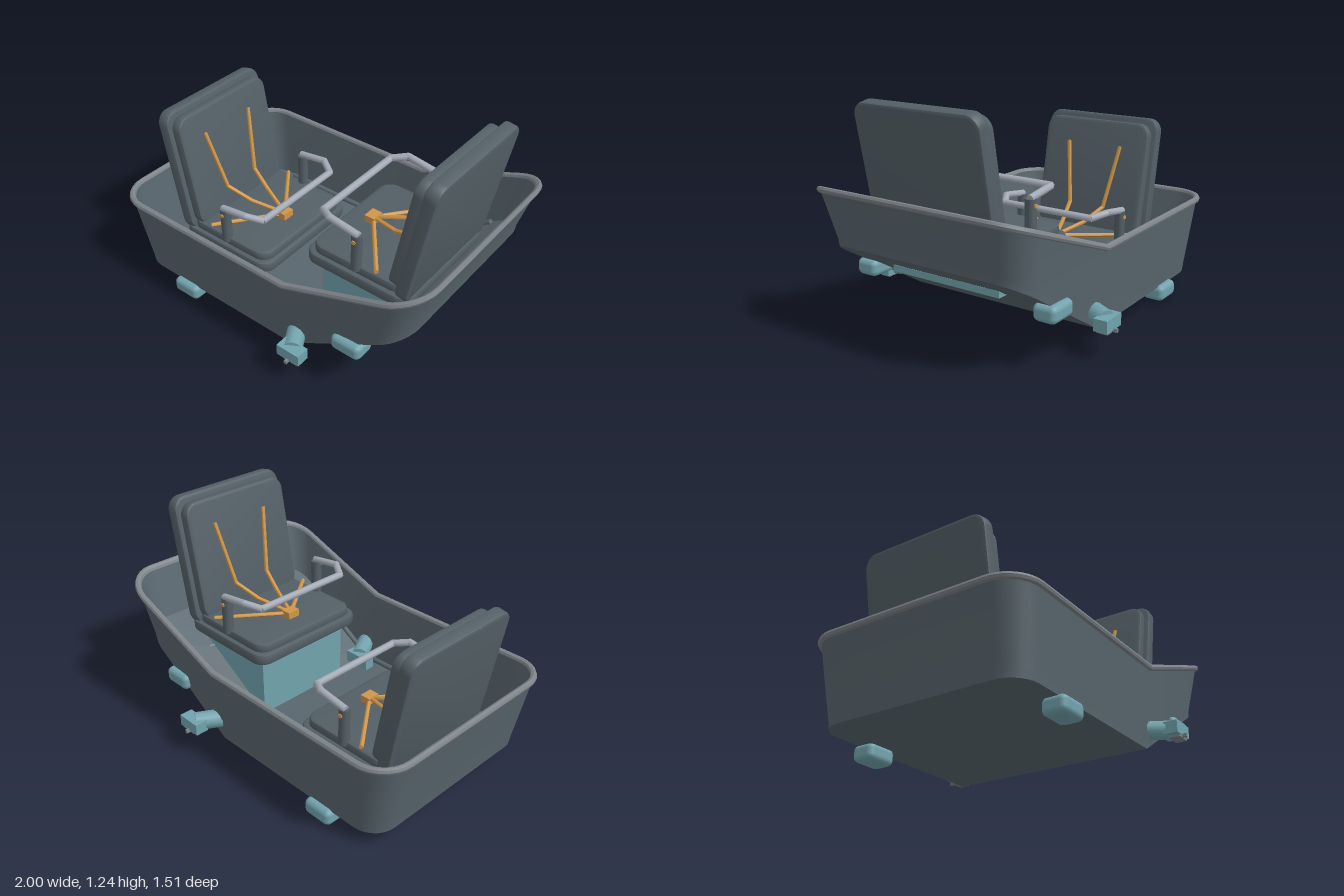
import * as THREE from 'three';
import { toCreasedNormals } from 'three/addons/utils/BufferGeometryUtils.js';
import { RoundedBoxGeometry } from 'three/addons/geometries/RoundedBoxGeometry.js';

const mat = (name, color) => {
  const m = new THREE.MeshStandardMaterial({ color });
  m.name = name;
  return m;
};
const BEND = 0.22; // where the floor and the rim start to climb
const floorY = x => 0.08 + Math.max(0, x - BEND) * 0.62;
const rimY = x => 0.515 + Math.max(0, x - BEND) * 0.375;

export function createModel() {
  const hullMat = mat('hull grey', 0x59666e);
  const seatMat = mat('seat grey', 0x535f66);
  const rimMat = mat('rim grey', 0x7d848a);
  const barMat = mat('bar silver', 0xa4aab6);
  const tealMat = mat('teal', 0x72a3ad);
  const goldMat = mat('strap gold', 0xcf964a);
  const model = new THREE.Group();

  const add = (parent, name, geo, material, x = 0, y = 0, z = 0) => {
    const m = new THREE.Mesh(geo, material);
    m.name = name;
    m.position.set(x, y, z);
    parent.add(m);
    return m;
  };
  const box = (parent, name, material, w, h, d, x, y, z) =>
    add(parent, name, new THREE.BoxGeometry(w, h, d), material, x, y, z);

  // Chain of straight round rods through the given points
  const rods = (parent, name, material, r, pts, sides = 8) => {
    const g = new THREE.Group();
    g.name = name;
    for (let i = 0; i + 1 < pts.length; i++) {
      const a = new THREE.Vector3(...pts[i]), b = new THREE.Vector3(...pts[i + 1]);
      const dir = b.clone().sub(a), len = dir.length();
      const geo = toCreasedNormals(new THREE.CylinderGeometry(r, r, len + r * 0.5, sides), 0.9);
      const m = add(g, name + 'Part', geo, material);
      m.position.copy(a).add(b).multiplyScalar(0.5);
      m.quaternion.setFromUnitVectors(new THREE.Vector3(0, 1, 0), dir.normalize());
    }
    parent.add(g);
  };

  // Rounded-rectangle ring whose height follows a rule of x
  const ring = (a, b, r, height) => {
    const side = [];
    const arc = (cx, from, to) => {
      for (let i = 0; i <= 7; i++) {
        const t = from + (to - from) * i / 7;
        side.push([cx + r * Math.cos(t), b - r + r * Math.sin(t)]);
      }
    };
    arc(-a + r, Math.PI, Math.PI / 2);
    side.push([BEND, b]);
    arc(a - r, Math.PI / 2, 0);
    const all = side.concat(side.slice().reverse().map(([x, z]) => [x, -z]));
    return all.map(([x, z]) => [x, height(x), z]);
  };
  const loft = (rings, caps) => {
    const pos = [];
    const quad = (a, b, c, d) => pos.push(...a, ...b, ...c, ...a, ...c, ...d);
    const n = rings[0].length;
    for (let k = 0; k + 1 < rings.length; k++)
      for (let i = 0; i < n; i++) {
        const j = (i + 1) % n;
        quad(rings[k][i], rings[k][j], rings[k + 1][j], rings[k + 1][i]);
      }
    if (caps) {
      const first = rings[0], last = rings[rings.length - 1];
      for (let i = 0; i + 1 < n / 2; i++) {
        quad(last[i], last[i + 1], last[n - 2 - i], last[n - 1 - i]);
        quad(first[n - 1 - i], first[n - 2 - i], first[i + 1], first[i]);
      }
    }
    const geo = new THREE.BufferGeometry();
    geo.setAttribute('position', new THREE.Float32BufferAttribute(pos, 3));
    return toCreasedNormals(geo, 0.5);
  };

  // Open tub: outside wall, top edge, inside wall and floor
  add(model, 'tub', loft([
    ring(0.9, 0.582, 0.14, floorY),
    ring(0.905, 0.585, 0.14, x => floorY(x) + 0.04),
    ring(0.982, 0.626, 0.17, rimY),
    ring(0.965, 0.61, 0.155, rimY),
    ring(0.885, 0.568, 0.125, x => floorY(x) + 0.03),
  ], true), hullMat);

  // Rolled rim
  const rimRings = [];
  for (let i = 0; i <= 8; i++) {
    const t = i / 8 * Math.PI * 2, d = 0.018 * Math.cos(t), h = 0.018 * Math.sin(t);
    rimRings.push(ring(0.98 + d, 0.626 + d, 0.17 + d, x => rimY(x) + h));
  }
  add(model, 'rim', loft(rimRings, false), rimMat);

  // Strip under the sloping end
  box(model, 'undersideStrip', tealMat, 0.06, 0.035, 0.66, 0.672, 0.36, 0);

  for (const s of [1, -1]) {
    // Bumper pads
    for (const [x, y] of [[-0.535, 0.045], [0.59, 0.305]])
      add(model, 'bumperPad', new RoundedBoxGeometry(0.175, 0.09, 0.13, 2, 0.03), tealMat, x, y, 0.555 * s);
    // Side pivot with end blocks and pin
    rods(model, 'sidePivot', tealMat, 0.05, [[0.18, 0.19, 0.44 * s], [0.32, 0.19, 0.68 * s]], 10);
    box(model, 'pivotInnerBlock', tealMat, 0.16, 0.07, 0.06, 0.16, 0.18, 0.42 * s);
    box(model, 'pivotOuterBlock', tealMat, 0.14, 0.065, 0.075, 0.33, 0.185, 0.698 * s);
    box(model, 'pivotFoot', rimMat, 0.09, 0.018, 0.06, 0.34, 0.15, 0.7 * s);
    box(model, 'pivotPin', rimMat, 0.015, 0.018, 0.07, 0.33, 0.152, 0.72 * s);
    // Floor rails
    rods(model, 'floorRail', hullMat, 0.016,
      [[-0.7, 0.12, 0.545 * s], [BEND, 0.12, 0.545 * s], [0.72, 0.43, 0.545 * s]]);
  }

  // Pad with rounded corners and bevelled edges, centred, thickness along z
  const pad = (w, h, t, r) => {
    const e = 0.015, x = w / 2 - e, y = h / 2 - e, q = Math.PI / 2;
    const s = new THREE.Shape();
    s.absarc(x - r, y - r, r, 0, q);
    s.absarc(-x + r, y - r, r, q, 2 * q);
    s.absarc(-x + r, -y + r, r, 2 * q, 3 * q);
    s.absarc(x - r, -y + r, r, 3 * q, 4 * q);
    const geo = new THREE.ExtrudeGeometry(s, {
      depth: t - 2 * e, bevelSize: e, bevelThickness: e, bevelSegments: 2, curveSegments: 5,
    });
    geo.translate(0, 0, e - t / 2);
    return toCreasedNormals(geo, 0.5);
  };

  // Seat with harness and lap bar, facing -x
  const makeSeat = name => {
    const g = new THREE.Group();
    g.name = name;
    add(g, 'seatBase', pad(0.64, 0.74, 0.065, 0.06).rotateX(-Math.PI / 2), seatMat, 0.455, 0.5, 0);
    add(g, 'seatCushion', pad(0.57, 0.69, 0.06, 0.06).rotateX(-Math.PI / 2), seatMat, 0.445, 0.548, 0);
    add(g, 'backShell', pad(0.74, 0.75, 0.075, 0.06).rotateY(-Math.PI / 2), seatMat, 0.792, 0.866, 0)
      .rotation.z = -0.185;
    add(g, 'backCushion', pad(0.69, 0.68, 0.065, 0.06).rotateY(-Math.PI / 2), seatMat, 0.727, 0.876, 0)
      .rotation.z = -0.185;
    // Harness
    box(g, 'buckle', goldMat, 0.06, 0.04, 0.075, 0.31, 0.602, 0);
    for (const s of [1, -1]) {
      rods(g, 'lapStrap', goldMat, 0.012, [[0.31, 0.6, 0], [0.57, 0.595, 0.335 * s]]);
      rods(g, 'shoulderStrap', goldMat, 0.012,
        [[0.31, 0.602, 0], [0.5, 0.645, 0.07 * s], [0.645, 0.71, 0.115 * s], [0.728, 1.07, 0.175 * s]]);
      // Lap bar posts
      rods(g, 'barPost', seatMat, 0.03, [[0.45, 0.56, 0.335 * s], [0.45, 0.76, 0.335 * s]], 10);
      rods(g, 'postPivot', goldMat, 0.012, [[0.45, 0.735, 0.35 * s], [0.45, 0.735, 0.366 * s]]);
    }
    rods(g, 'lapBar', barMat, 0.02, [
      [0.46, 0.77, 0.34], [0.29, 0.795, 0.34], [0.208, 0.775, 0.29],
      [0.208, 0.775, -0.29], [0.29, 0.795, -0.34], [0.46, 0.77, -0.34],
    ]);
    model.add(g);
    return g;
  };
  makeSeat('highSeat');
  const low = makeSeat('lowSeat');
  low.rotation.y = Math.PI;
  low.position.y = -0.275;

  // Seat pedestals: a wedge on the slope and a block on the flat floor
  const wedge = new THREE.Shape([[0.21, 0.1], [0.24, 0.1], [0.74, 0.42], [0.74, 0.48], [0.21, 0.48]]
    .map(p => new THREE.Vector2(...p)));
  add(model, 'highPedestal', new THREE.ExtrudeGeometry(wedge, { depth: 0.6, bevelEnabled: false }),
    tealMat, 0, 0, -0.3);
  box(model, 'lowPedestal', tealMat, 0.5, 0.11, 0.6, -0.47, 0.15, 0);

  return model;
}
